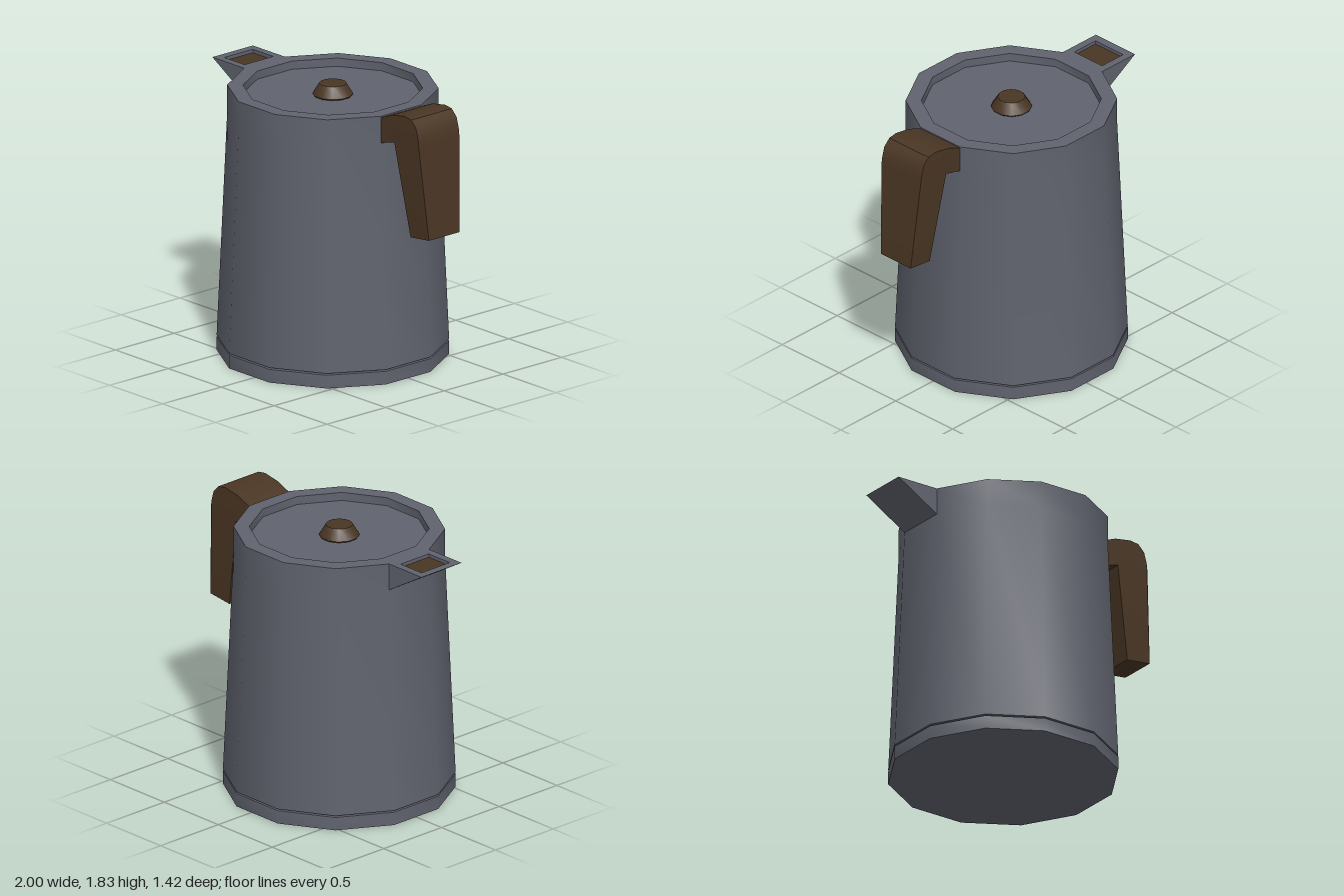
import * as THREE from 'three';
import { toCreasedNormals } from 'three/addons/utils/BufferGeometryUtils.js';

const SIDES = 12;
const CX = -0.053; // axis of the pot
const HALF = 0.173; // half width of spout and handle, one facet of the rim

export function createModel() {
  const slate = new THREE.MeshStandardMaterial({ color: 0x60636e });
  slate.name = 'slate grey';
  const brown = new THREE.MeshStandardMaterial({ color: 0x4a3624 });
  brown.name = 'dark brown';

  const model = new THREE.Group();
  model.name = 'jug';

  function add(name, geometry, material) {
    const mesh = new THREE.Mesh(geometry, material);
    mesh.name = name;
    model.add(mesh);
    return mesh;
  }

  // Twelve-sided turned part, smooth around and sharp at the rims
  function turned(name, profile, material) {
    const points = profile.map(([r, y]) => new THREE.Vector2(r, y));
    const geometry = new THREE.LatheGeometry(points, SIDES, Math.PI / SIDES);
    add(name, toCreasedNormals(geometry, 0.6), material).position.x = CX;
  }

  // Flat-shaded quads and triangles, corners counter-clockwise from outside
  function faces(polygons) {
    const positions = [];
    for (const p of polygons) {
      for (let i = 1; i < p.length - 1; i++) positions.push(...p[0], ...p[i], ...p[i + 1]);
    }
    const geometry = new THREE.BufferGeometry();
    geometry.setAttribute('position', new THREE.Float32BufferAttribute(positions, 3));
    geometry.computeVertexNormals();
    return geometry;
  }

  // Pot: foot, seam, tapered body with raised rim, sunken lid and knob
  turned('foot', [[0, 0], [0.737, 0], [0.737, 0.088], [0, 0.088]], slate);
  turned('seam', [[0.705, 0.08], [0.705, 0.11]], brown);
  turned('body', [[0, 0.099], [0.737, 0.099], [0.67, 1.59], [0.67, 1.77], [0.57, 1.77], [0.57, 1.715]], slate);
  turned('lid', [[0.57, 1.715], [0, 1.715]], slate);
  turned('knob', [[0.118, 1.71], [0.13, 1.725], [0.087, 1.795], [0, 1.795]], brown);

  // Spout: wedge with a framed opening on top
  const top = 1.77, floor = 1.747, tip = -1, root = -0.69;
  const outer = [[tip, -HALF], [tip, HALF], [root, HALF], [root, -HALF]];
  const inner = [[-0.945, -0.122], [-0.945, 0.122], [-0.752, 0.122], [-0.752, -0.122]];
  const at = ([x, z], y) => [x, y, z];
  const polygons = [
    [[tip, top, HALF], [root, 1.585, HALF], [root, top, HALF]],
    [[tip, top, -HALF], [root, top, -HALF], [root, 1.585, -HALF]],
    [[tip, top, -HALF], [root, 1.585, -HALF], [root, 1.585, HALF], [tip, top, HALF]],
  ];
  for (let i = 0; i < 4; i++) {
    const j = (i + 1) % 4;
    polygons.push([at(outer[i], top), at(outer[j], top), at(inner[j], top), at(inner[i], top)]);
    polygons.push([at(inner[i], top), at(inner[j], top), at(inner[j], floor), at(inner[i], floor)]);
  }
  add('spout', faces(polygons), slate);
  add('spoutOpening', faces([inner.map((p) => at(p, floor))]), brown);

  // Handle: extruded hook whose grip narrows downwards
  const hook = new THREE.Shape([
    [0.59, 1.76], [0.7, 1.805], [0.82, 1.825], [0.88, 1.815], [0.925, 1.77], [0.945, 1.7],
    [0.951, 1.65], [1, 1.03], [0.825, 1.01], [0.72, 1.625], [0.59, 1.592],
  ].map(([x, y]) => new THREE.Vector2(x, y)));
  const handle = new THREE.ExtrudeGeometry(hook, { depth: 2 * HALF, bevelEnabled: false });
  handle.translate(0, 0, -HALF);
  const pos = handle.attributes.position;
  for (let i = 0; i < pos.count; i++) {
    const t = THREE.MathUtils.clamp((1.59 - pos.getY(i)) / 0.57, 0, 1);
    pos.setZ(i, pos.getZ(i) * (1 - 0.25 * t));
  }
  add('handle', toCreasedNormals(handle, 0.6), brown);

  return model;
}
